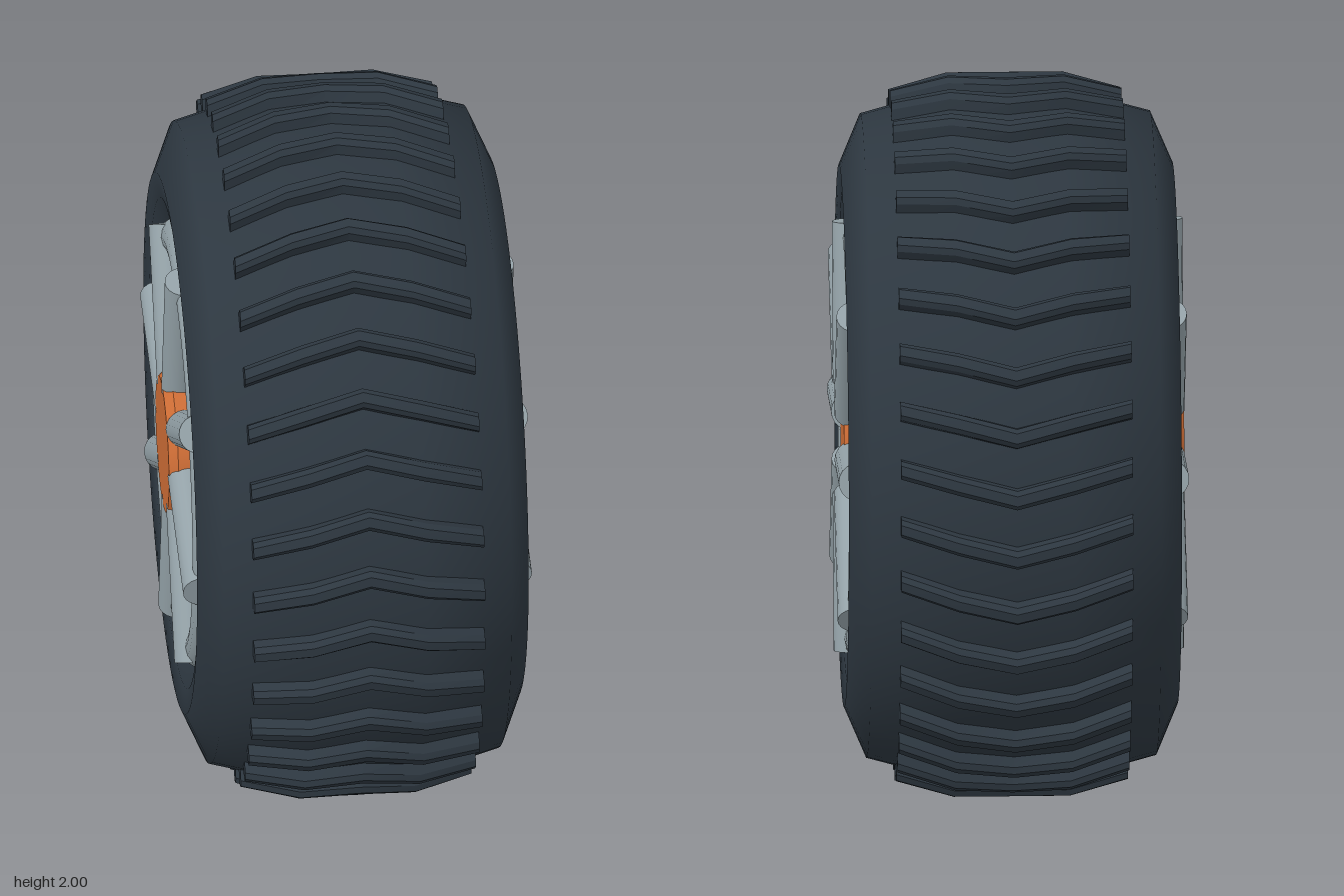
import * as THREE from 'three';
import { toCreasedNormals } from 'three/addons/utils/BufferGeometryUtils.js';

const rubber = new THREE.MeshStandardMaterial({ color: 0x2d3740 });
rubber.name = 'rubber';
const metal = new THREE.MeshStandardMaterial({ color: 0x94a2a8 });
metal.name = 'greyMetal';
const orange = new THREE.MeshStandardMaterial({ color: 0xcc6c35 });
orange.name = 'orangePaint';

const TREADS = 36, SPOKES = 8;

function part(name, geometry, material, parent) {
  const mesh = new THREE.Mesh(geometry, material);
  mesh.name = name;
  parent.add(mesh);
  return mesh;
}

// Turn a [radius, x] profile around the axle (x axis)
function turned(profile, segments) {
  const points = profile.map(([r, x]) => new THREE.Vector2(r, x));
  return new THREE.LatheGeometry(points, segments).rotateZ(-Math.PI / 2);
}

// Crown of the tyre: flat in the middle, sloping to the shoulders
const crown = (x) => 0.955 - Math.max(0, Math.abs(x) - 0.16) * 0.27;

// One chevron bar, lofted across the crown
function treadGeometry() {
  const stations = [-0.32, -0.16, 0, 0.16, 0.32];
  const section = [[-0.032, -0.03], [-0.027, 0.03], [-0.014, 0.045],
    [0.014, 0.045], [0.027, 0.03], [0.032, -0.03]]; // [angle, height]
  const n = section.length, positions = [], index = [];
  for (const x of stations) {
    const sweep = -Math.abs(x) / 0.32 * 0.085;
    for (const [a, h] of section) {
      const r = crown(x) + h;
      positions.push(x, r * Math.sin(a + sweep), r * Math.cos(a + sweep));
    }
  }
  for (let s = 0; s < stations.length - 1; s++) {
    for (let i = 0; i < n - 1; i++) {
      const a = s * n + i, b = a + n;
      index.push(a, b, b + 1, a, b + 1, a + 1);
    }
  }
  const last = (stations.length - 1) * n;
  for (let i = 1; i < n - 1; i++) {
    index.push(0, i, i + 1);
    index.push(last, last + i + 1, last + i);
  }
  const geometry = new THREE.BufferGeometry();
  geometry.setAttribute('position', new THREE.Float32BufferAttribute(positions, 3));
  geometry.setIndex(index);
  return toCreasedNormals(geometry, 0.5);
}

// Spoke, ring and hub on one side of the wheel
function wheelFace(side, hubFace) {
  const face = new THREE.Group();
  face.name = side > 0 ? 'leftWheelFace' : 'rightWheelFace';

  const ring = part('rimRing', new THREE.TorusGeometry(0.57, 0.06, 16, 64), metal, face);
  ring.rotation.y = Math.PI / 2;
  ring.position.x = side * 0.395;

  const hubGeometry = turned([[0, -0.075], [0.19, -0.075], [0.212, -0.05],
    [0.212, 0.05], [0.19, 0.075], [0, 0.075]], 24);
  const hub = part('hub', toCreasedNormals(hubGeometry, 0.6), orange, face);
  hub.position.x = side * (hubFace - 0.075);

  // Spokes lean sideways, so they are not quite radial
  const base = new THREE.Vector3(0, 0.17, -0.007);
  const tip = new THREE.Vector3(0, 0.6, 0.09);
  const along = tip.clone().sub(base);
  const spokeGeometry = new THREE.CylinderGeometry(0.053, 0.053, along.length(), 20);
  spokeGeometry.rotateX(Math.atan2(along.z, along.y));
  const middle = base.add(tip).multiplyScalar(0.5);
  spokeGeometry.translate(side * 0.431, middle.y, middle.z);
  for (let i = 0; i < SPOKES; i++) {
    part('spoke', spokeGeometry, metal, face).rotation.x = i * 2 * Math.PI / SPOKES;
  }
  return face;
}

export function createModel() {
  const model = new THREE.Group();
  model.name = 'wheel';
  const wheel = new THREE.Group();
  wheel.name = 'wheelAssembly';
  wheel.position.y = 1;
  model.add(wheel);

  // Tyre: a closed loop, outer wall first and then the inside
  const half = [[0.585, 0.36], [0.62, 0.41], [0.68, 0.45], [0.75, 0.46], [0.89, 0.4], [0.955, 0.16]];
  const profile = [
    ...half.map(([r, x]) => [r, -x]),
    ...half.slice().reverse(),
    [0.585, -0.36],
  ];
  part('tyre', turned(profile, 72), rubber, wheel);

  // Chevron treads
  const treads = new THREE.Group();
  treads.name = 'treads';
  wheel.add(treads);
  const bar = treadGeometry();
  for (let i = 0; i < TREADS; i++) {
    part('treadBar', bar, rubber, treads).rotation.x = i * 2 * Math.PI / TREADS;
  }

  wheel.add(wheelFace(1, 0.458), wheelFace(-1, 0.482));
  return model;
}
